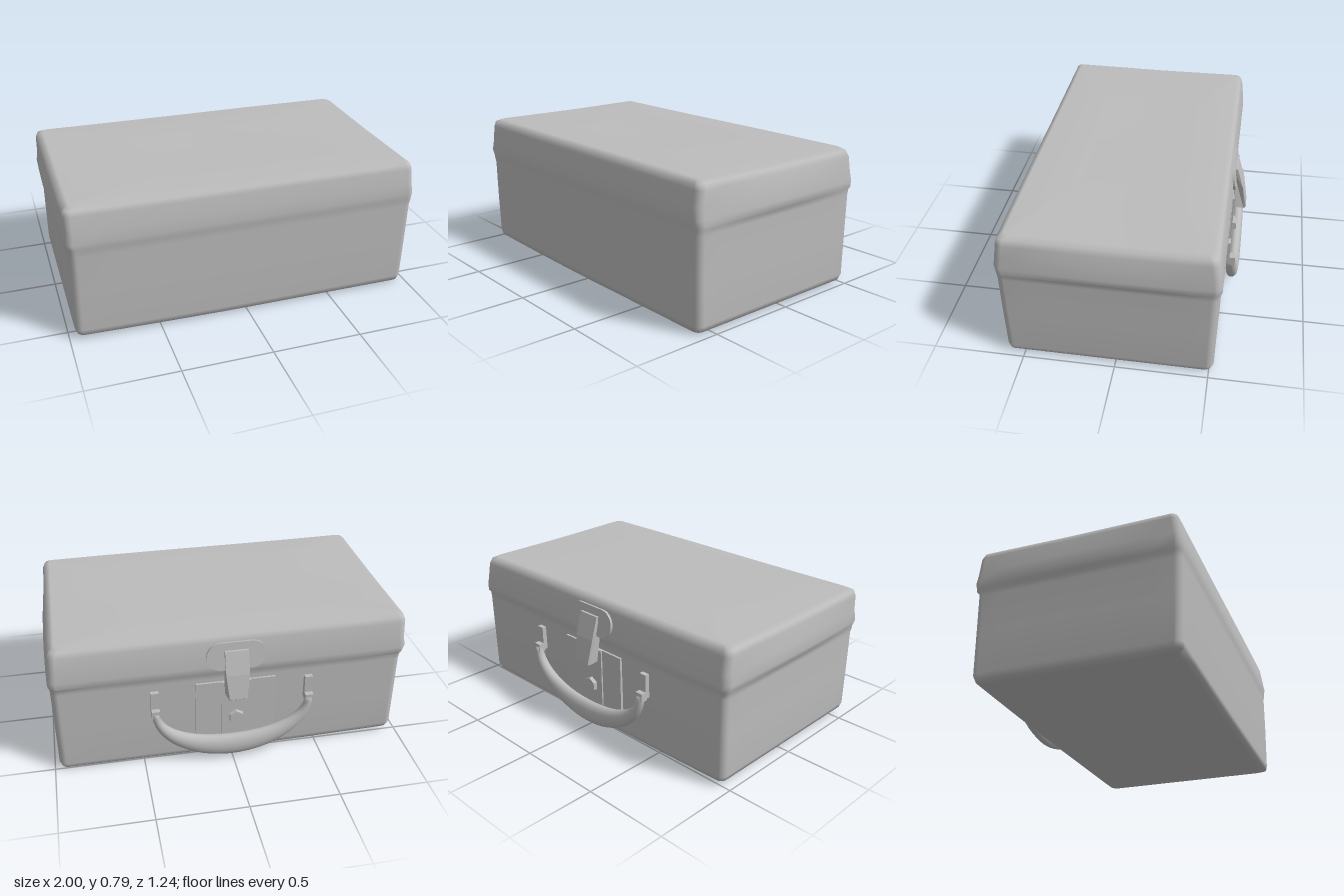
import * as THREE from 'three';
import { toCreasedNormals } from 'three/addons/utils/BufferGeometryUtils.js';

// Skin a list of closed rings (equal point counts), closing both ends with a fan.
function loft(rings) {
  const n = rings[0].length, pos = [], idx = [];
  rings.forEach(r => r.forEach(p => pos.push(p.x, p.y, p.z)));
  for (let i = 0; i < rings.length - 1; i++) {
    for (let j = 0; j < n; j++) {
      const a = i * n + j, b = i * n + (j + 1) % n;
      idx.push(a, a + n, b, b, a + n, b + n);
    }
  }
  const last = (rings.length - 1) * n;
  for (let j = 1; j < n - 1; j++) {
    idx.push(0, j, j + 1);
    idx.push(last, last + j + 1, last + j);
  }
  const g = new THREE.BufferGeometry();
  g.setAttribute('position', new THREE.Float32BufferAttribute(pos, 3));
  g.setIndex(idx);
  g.computeVertexNormals();
  return g;
}

// Horizontal rounded rectangle with subdivided edges and a slightly worn, uneven shape.
function caseRing([y, xL, xR, zF, zB, r]) {
  const corners = [[xR - r, zF - r, 0], [xL + r, zF - r, 1], [xL + r, zB + r, 2], [xR - r, zB + r, 3]];
  const pts = [];
  corners.forEach(([cx, cz, q], k) => {
    for (let i = 0; i <= 5; i++) {
      const a = (q + i / 5) * Math.PI / 2;
      pts.push(new THREE.Vector3(cx + r * Math.cos(a), y, cz + r * Math.sin(a)));
    }
    const next = corners[(k + 1) % 4], a = (q + 1) * Math.PI / 2;
    const p = pts[pts.length - 1].clone();
    const e = new THREE.Vector3(next[0] + r * Math.cos(a), y, next[1] + r * Math.sin(a));
    for (let i = 1; i < 10; i++) pts.push(p.clone().lerp(e, i / 10));
  });
  pts.forEach(p => {
    if (y < 0.1) p.y += 0.018 * Math.max(0, -p.x) ** 1.5;
    if (y > 0.7) p.y += 0.008 * Math.abs(p.z) - 0.006 * p.x * Math.abs(p.x);
    // Lid sides bow outwards in the middle
    if (y > 0.56 && y < 0.7) p.x *= 1 - 0.04 * p.z * p.z;
  });
  return pts;
}

export function createModel() {
  const group = new THREE.Group();
  const grey = new THREE.MeshStandardMaterial({ color: 0xbcbcbc });
  grey.name = 'grey';
  const add = (name, geometry, x = 0, y = 0, z = 0) => {
    const m = new THREE.Mesh(geometry, grey);
    m.name = name;
    m.position.set(x, y, z);
    group.add(m);
    return m;
  };

  // Case: base and closed lid, bulging where the lid overlaps
  const rows = [
    [0.003, -0.4, 0.4, 0.28, -0.22, 0.02],
    [0.005, -0.92, 0.93, 0.56, -0.49, 0.03],
    [0.018, -0.955, 0.96, 0.592, -0.512, 0.035],
    [0.05, -0.968, 0.972, 0.598, -0.524, 0.04],
    [0.3, -0.968, 0.974, 0.605, -0.527, 0.04],
    [0.52, -0.968, 0.976, 0.608, -0.53, 0.04],
    [0.55, -0.974, 0.98, 0.611, -0.53, 0.04],
    [0.565, -0.988, 0.995, 0.613, -0.543, 0.04],
    [0.6, -1, 0.996, 0.618, -0.543, 0.04],
    [0.66, -0.992, 0.987, 0.611, -0.537, 0.04],
    [0.74, -0.982, 0.972, 0.599, -0.525, 0.04],
    [0.77, -0.972, 0.958, 0.59, -0.512, 0.035],
    [0.786, -0.94, 0.93, 0.56, -0.485, 0.03],
    [0.784, -0.4, 0.4, 0.28, -0.22, 0.02],
  ];
  add('case', loft(rows.map(caseRing)));

  // Handle: a drooping, tapered grip
  const rings = [];
  for (let i = 0; i <= 32; i++) {
    const t = Math.PI * i / 32, s = Math.sin(t);
    const c = new THREE.Vector3(0.43 * Math.cos(t), 0.36 - 0.265 * s, -0.571);
    const normal = new THREE.Vector2(0.265 * Math.cos(t), -0.43 * s).normalize();
    const h = 0.022 + 0.045 * s * s, d = 0.022 + 0.017 * s;
    const ring = [];
    for (let j = 0; j < 16; j++) {
      const a = -j / 16 * Math.PI * 2, u = h * Math.cos(a);
      ring.push(new THREE.Vector3(c.x + normal.x * u, c.y + normal.y * u, c.z + d * Math.sin(a)));
    }
    rings.push(ring);
  }
  add('handle', loft(rings));

  // Brackets and pins that hold the handle ends
  for (const s of [1, -1]) {
    add('handleBracket', new THREE.BoxGeometry(0.045, 0.14, 0.035), s * 0.43, 0.41, -0.538);
    add('handlePin', new THREE.BoxGeometry(0.045, 0.05, 0.04), s * 0.43, 0.355, -0.566);
  }

  // Lock plate with raised middle strip and hexagonal button
  add('lockPlate', new THREE.BoxGeometry(0.45, 0.35, 0.024), -0.02, 0.325, -0.53);
  add('lockStrip', new THREE.BoxGeometry(0.16, 0.35, 0.03), -0.02, 0.325, -0.536);
  const button = new THREE.CylinderGeometry(0.042, 0.045, 0.03, 6);
  button.rotateX(-Math.PI / 2);
  add('lockButton', toCreasedNormals(button, 0.5), -0.02, 0.27, -0.558);

  // Rounded latch plate on the lid
  const w = 0.085, r = 0.08;
  const outline = new THREE.Shape();
  outline.absarc(w, 0, r, -Math.PI / 2, Math.PI / 2);
  outline.absarc(-w, 0, r, Math.PI / 2, Math.PI * 1.5);
  const plate = new THREE.ExtrudeGeometry(outline, { depth: 0.02, bevelEnabled: false, curveSegments: 12 });
  add('latchPlate', plate, -0.02, 0.665, -0.549).rotation.x = 0.12;

  // Latch tongue: side profile (z, y) swept across its width
  const side = new THREE.Shape([
    [-0.53, 0.7], [-0.558, 0.7], [-0.596, 0.57], [-0.62, 0.43], [-0.608, 0.42], [-0.563, 0.437], [-0.54, 0.57],
  ].map(p => new THREE.Vector2(...p)));
  const tongue = new THREE.ExtrudeGeometry(side, { depth: 0.13, bevelEnabled: false });
  tongue.translate(0, 0, -0.065);
  tongue.rotateY(-Math.PI / 2);
  // Narrow the lower tip
  const p = tongue.attributes.position;
  for (let i = 0; i < p.count; i++) if (p.getY(i) < 0.435) p.setX(i, p.getX(i) * 0.75);
  tongue.computeVertexNormals();
  add('latchTongue', tongue, -0.018, 0, 0);

  return group;
}
